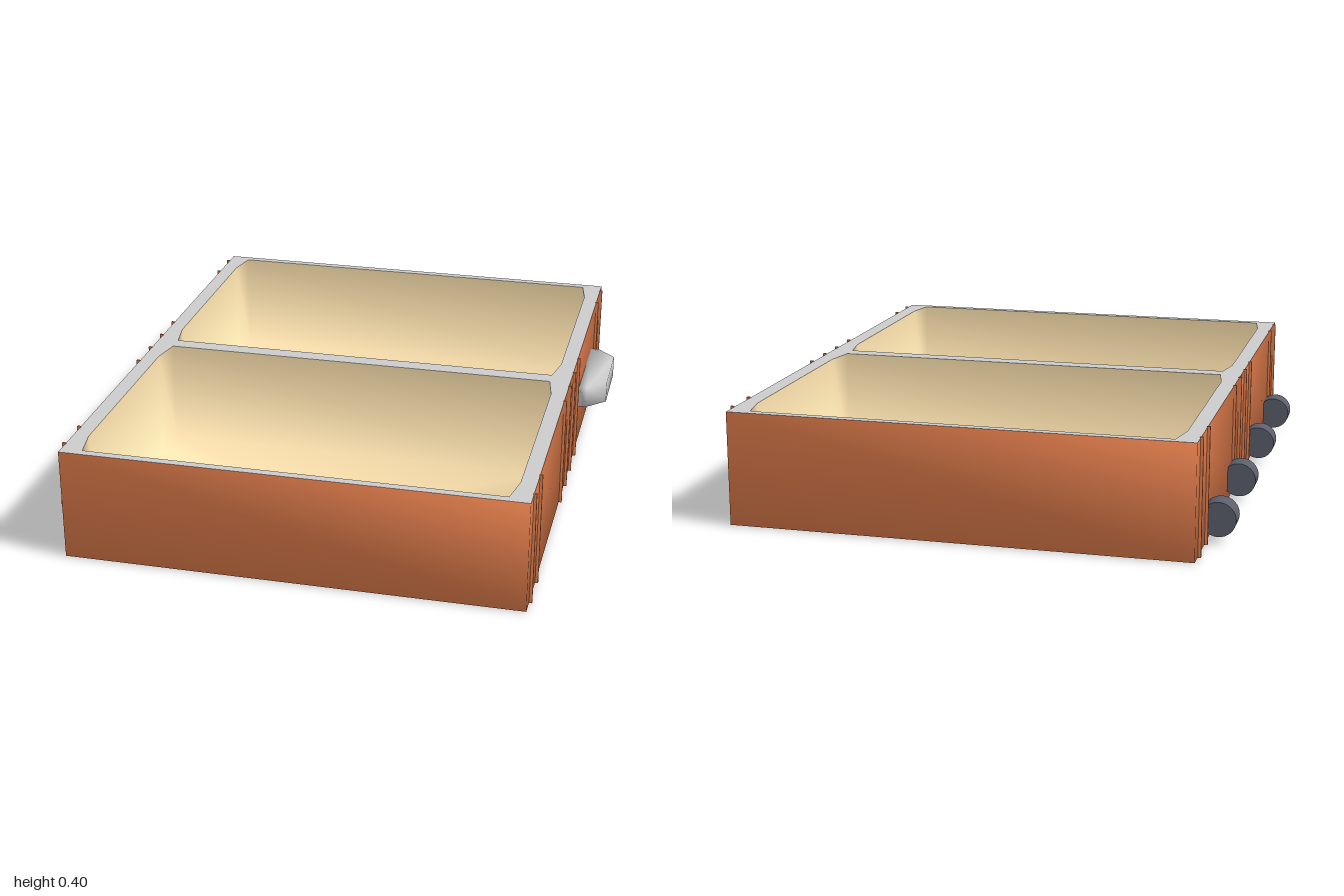
import * as THREE from 'three';
import { mergeVertices } from 'three/addons/utils/BufferGeometryUtils.js';

const paint = (color) => new THREE.MeshStandardMaterial({ color, side: THREE.DoubleSide });
const SHELL = paint(0xee8450), LINING = paint(0xffe4b0), WHEEL = paint(0x5c5f6c), GREY = paint(0xcccccc);

function add(parent, name, geometry, material, x = 0, y = 0, z = 0) {
  const mesh = new THREE.Mesh(geometry, material);
  mesh.name = name;
  mesh.position.set(x, y, z);
  parent.add(mesh);
}

// Share corner points so the shading runs softly across the edges
function soften(geometry) {
  geometry.deleteAttribute('normal');
  geometry.deleteAttribute('uv');
  const soft = mergeVertices(geometry, 1e-4);
  soft.computeVertexNormals();
  return soft;
}

// Open basin: an [x, z] outline dropped straight down to a closed floor
function basin(outline, topY, floorY) {
  const p = [];
  outline.forEach(([x, z], i) => {
    const [u, w] = outline[(i + 1) % outline.length];
    p.push(x, topY, z, u, topY, w, x, floorY, z);
    p.push(u, topY, w, u, floorY, w, x, floorY, z);
    p.push(x, floorY, z, u, floorY, w, 0, floorY, 0);
  });
  const g = new THREE.BufferGeometry();
  g.setAttribute('position', new THREE.Float32BufferAttribute(p, 3));
  return soften(g);
}

// Mirror a quarter outline into all four corners
const mirrorOutline = (pts) => [
  ...pts,
  ...pts.map(([x, z]) => [-x, z]).reverse(),
  ...pts.map(([x, z]) => [-x, -z]),
  ...pts.map(([x, z]) => [x, -z]).reverse(),
];

function createTray() {
  const tray = new THREE.Group();
  const outer = mirrorOutline([[0.8, 0.5]]);
  const inner = mirrorOutline([[0.745, 0.36], [0.725, 0.47]]);

  // Shell faces outward, lining (reversed outline) faces inward
  add(tray, 'shell', basin(outer, 0.4, 0.002), SHELL);
  add(tray, 'lining', basin([...inner].reverse(), 0.4, 0.02), LINING);

  // Flat rim bridging shell and lining
  const toVec = ([x, z]) => new THREE.Vector2(x, -z);
  const rim = new THREE.Shape(outer.map(toVec));
  rim.holes.push(new THREE.Path(inner.map(toVec)));
  add(tray, 'rim', new THREE.ShapeGeometry(rim).rotateX(-Math.PI / 2), GREY, 0, 0.4, 0);

  // Thin ribs under the floor; the outer pairs also climb both side walls
  for (const z of [-0.435, -0.3, -0.15, 0, 0.15, 0.3, 0.435]) {
    add(tray, 'floorRib', new THREE.BoxGeometry(1.58, 0.004, 0.008), SHELL, 0, 0.002, z);
    if (Math.abs(z) < 0.2) continue;
    for (const s of [-1, 1]) {
      add(tray, 'sideRib', new THREE.BoxGeometry(0.012, 0.404, 0.008), SHELL, s * 0.804, 0.202, z);
    }
  }

  // Two wheels on the right edge
  for (const z of [-0.24, 0.24]) {
    const wheel = new THREE.CylinderGeometry(0.06, 0.06, 0.08, 32).rotateX(Math.PI / 2);
    add(tray, 'wheel', wheel, WHEEL, -0.84, 0.083, z);
  }
  return tray;
}

export function createModel() {
  const model = new THREE.Group();
  model.name = 'openSuitcase';

  for (const [name, z] of [['frontHalf', 0.5], ['backHalf', -0.5]]) {
    const tray = createTray();
    tray.name = name;
    tray.position.z = z;
    model.add(tray);
  }

  // Chamfered carry handle on the left of the back half
  const profile = [[0, 0.2], [0, -0.2], [0.03, -0.2], [0.1, -0.13], [0.1, 0.13], [0.03, 0.2]];
  const shape = new THREE.Shape(profile.map(([x, y]) => new THREE.Vector2(x, y)));
  const handle = new THREE.ExtrudeGeometry(shape, { depth: 0.08, bevelEnabled: false }).rotateX(-Math.PI / 2);
  add(model, 'handle', soften(handle), GREY, 0.8, 0.162, -0.5);

  return model;
}
